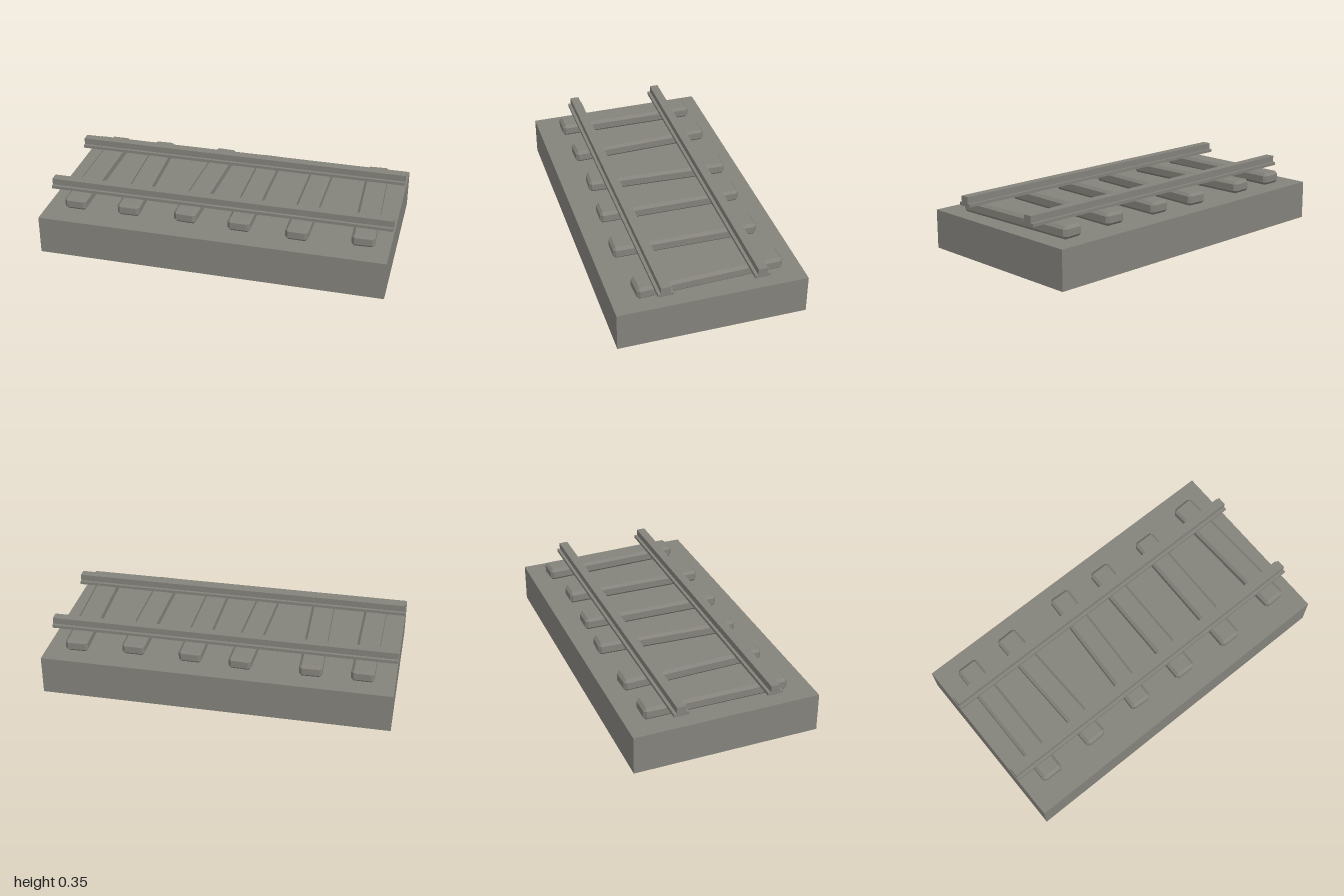
import * as THREE from 'three';
import { ConvexGeometry } from 'three/addons/geometries/ConvexGeometry.js';

const stone = new THREE.MeshStandardMaterial({ color: 0x84827b });
stone.name = 'warm grey';

// Box with every edge and corner cut flat
function chamferedBox(w, h, d, c) {
  const points = [];
  const [x, y, z] = [w / 2, h / 2, d / 2];
  for (const sx of [-1, 1]) for (const sy of [-1, 1]) for (const sz of [-1, 1]) {
    points.push(
      new THREE.Vector3(sx * x, sy * (y - c), sz * (z - c)),
      new THREE.Vector3(sx * (x - c), sy * y, sz * (z - c)),
      new THREE.Vector3(sx * (x - c), sy * (y - c), sz * z)
    );
  }
  return new ConvexGeometry(points);
}

function add(parent, name, geometry, x, y, z) {
  const mesh = new THREE.Mesh(geometry, stone);
  mesh.name = name;
  mesh.position.set(x, y, z);
  parent.add(mesh);
  return mesh;
}

// Stepped rail section: wide foot, narrow head, run along x
function railGeometry() {
  const foot = 0.043, head = 0.026, y0 = 0.297, y1 = 0.315, y2 = 0.353;
  const section = new THREE.Shape([
    [-foot, y0], [foot, y0], [foot, y1], [head, y1],
    [head, y2], [-head, y2], [-head, y1], [-foot, y1],
  ].map(([a, b]) => new THREE.Vector2(a, b)));
  const geometry = new THREE.ExtrudeGeometry(section, { depth: 2, bevelEnabled: false });
  return geometry.translate(0, 0, -1).rotateY(Math.PI / 2);
}

export function createModel() {
  const group = new THREE.Group();
  group.name = 'railwayTrack';

  // Ground slab
  add(group, 'trackBed', new THREE.BoxGeometry(2, 0.226, 1.07), 0, 0.113, 0);

  // Slightly uneven sleepers: centre x, centre z, sideways drift from back to front
  const sleeper = chamferedBox(0.13, 0.072, 0.83, 0.016);
  const layout = [
    [-0.822, -0.015, -0.006], [-0.518, -0.02, 0.025], [-0.151, -0.022, -0.042],
    [0.153, -0.005, -0.012], [0.487, 0.01, -0.013], [0.835, -0.015, 0.029],
  ];
  layout.forEach(([x, z, drift], i) => {
    add(group, `sleeper${i + 1}`, sleeper, x, 0.262, z).rotation.y = Math.atan2(drift, 0.83);
  });

  // Pair of rails
  const rail = railGeometry();
  add(group, 'frontRail', rail, 0, 0, 0.268);
  add(group, 'backRail', rail, 0, 0, -0.268);

  return group;
}
